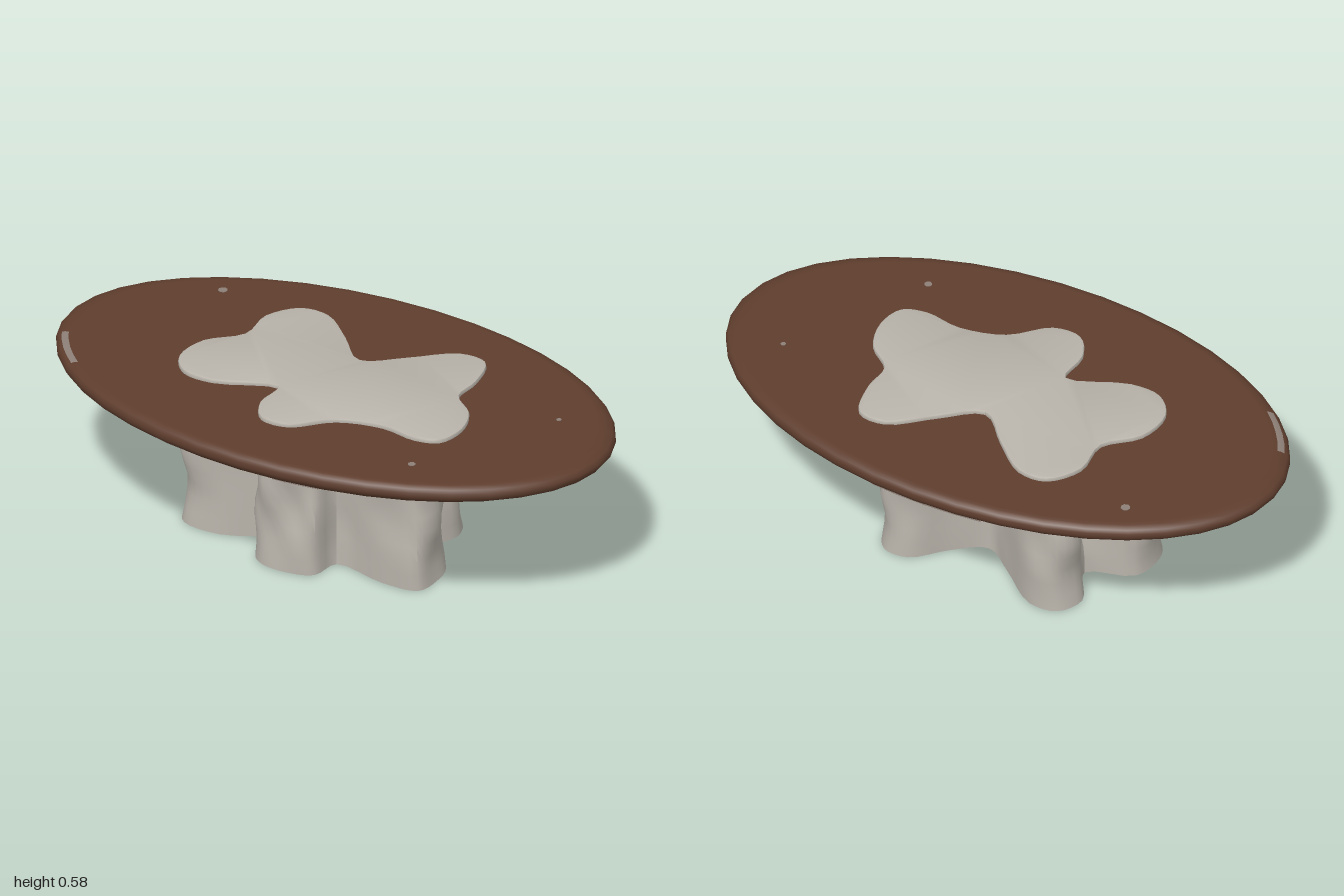
import * as THREE from 'three';
import { toCreasedNormals } from 'three/addons/utils/BufferGeometryUtils.js';

const wood = new THREE.MeshStandardMaterial({ color: 0x5e3d2d });
wood.name = 'brown wood';
const stone = new THREE.MeshStandardMaterial({ color: 0xb8b3aa });
stone.name = 'pale grey stone';
const chip = new THREE.MeshStandardMaterial({ color: 0x8c7f77, side: THREE.DoubleSide });
chip.name = 'worn grey';

// Five-lobed outlines as [x, z]
const inlayOutline = [
  [0, -0.145], [0.12, -0.24], [0.25, -0.355], [0.35, -0.35], [0.395, -0.22], [0.4, -0.11],
  [0.49, -0.03], [0.53, 0.08], [0.51, 0.18], [0.43, 0.21], [0.3, 0.195], [0.15, 0.24],
  [0.04, 0.35], [-0.06, 0.355], [-0.12, 0.27], [-0.13, 0.145], [-0.33, 0.225], [-0.44, 0.22],
  [-0.51, 0.14], [-0.5, 0.01], [-0.41, -0.1], [-0.42, -0.24], [-0.35, -0.345], [-0.25, -0.35],
  [-0.12, -0.25],
];
const baseOutline = [
  [0, -0.12], [0.1, -0.19], [0.2, -0.295], [0.29, -0.295], [0.34, -0.2], [0.3, -0.07],
  [0.42, 0], [0.445, 0.1], [0.43, 0.185], [0.3, 0.2], [0.11, 0.17],
  [0.09, 0.27], [0.03, 0.3], [-0.09, 0.3], [-0.15, 0.25], [-0.15, 0.13], [-0.32, 0.2],
  [-0.46, 0.19], [-0.5, 0.12], [-0.48, 0], [-0.33, -0.07], [-0.4, -0.2], [-0.36, -0.29],
  [-0.26, -0.3], [-0.11, -0.19],
];

// Smooth closed outline raised from y to y + height
function slab(outline, y, height, steps, bevel = 0) {
  const curve = new THREE.CatmullRomCurve3(
    outline.map(([x, z]) => new THREE.Vector3(x, -z, 0)), true, 'centripetal');
  const shape = new THREE.Shape(curve.getPoints(100).slice(0, -1).map(p => new THREE.Vector2(p.x, p.y)));
  const g = new THREE.ExtrudeGeometry(shape, {
    depth: height - bevel, steps, bevelEnabled: bevel > 0,
    bevelThickness: bevel, bevelSize: bevel, bevelOffset: -bevel, bevelSegments: 2,
  });
  return g.rotateX(-Math.PI / 2).translate(0, y, 0);
}

// Lathe around y, stretched into an oval
function oval(profile, segments, start = 0, length = Math.PI * 2) {
  const points = profile.map(([r, y]) => new THREE.Vector2(r, y));
  return new THREE.LatheGeometry(points, segments, start, length).scale(1, 1, 0.6);
}

// Irregular hewn walls: the lobes swell and sway a little with height
function hew(g) {
  const p = g.attributes.position;
  for (let i = 0; i < p.count; i++) {
    const x = p.getX(i), y = p.getY(i), z = p.getZ(i);
    const a = Math.atan2(z, x), fade = Math.sin(Math.PI * Math.min(1, y / 0.5));
    const s = 1 - fade * (0.035 + 0.035 * Math.sin(a * 7 + y * 15) + 0.015 * Math.sin(a * 13 - y * 24));
    p.setXYZ(i, x * s, y, z * s);
  }
  return g;
}

export function createModel() {
  const group = new THREE.Group();
  const add = (name, geometry, material) => {
    const mesh = new THREE.Mesh(geometry, material);
    mesh.name = name;
    group.add(mesh);
  };

  // Pedestal
  add('base', toCreasedNormals(hew(slab(baseOutline, 0, 0.51, 10)), 0.7), stone);

  // Oval top with a rounded rim
  const rim = [
    [0, 0.498], [0.94, 0.498], [0.965, 0.5], [0.99, 0.512], [1, 0.525],
    [1, 0.54], [0.99, 0.552], [0.965, 0.561], [0.94, 0.562], [0, 0.562],
  ];
  add('tabletop', oval(rim, 40), wood);

  // Raised inlay
  add('inlay', toCreasedNormals(slab(inlayOutline, 0.556, 0.02, 1, 0.006), 0.6), stone);

  // Worn patches on the rim: start and end angle in degrees, then profile
  const upper = [[0.955, 0.5635], [0.968, 0.5625], [0.98, 0.558]];
  const lower = [[0.98, 0.503], [0.968, 0.4985], [0.945, 0.4965]];
  for (const [from, to, profile] of [[288, 306, upper], [170, 194, lower], [7, 17, lower]]) {
    const d = Math.PI / 180;
    add('rimWear', oval(profile, 4, from * d, (to - from) * d), chip);
  }

  // Small specks on the top
  for (const [x, z, r] of [[-0.64, -0.33, 0.016], [0.51, 0.35, 0.013], [0.75, -0.16, 0.009]]) {
    add('speck', new THREE.CylinderGeometry(r, r, 0.003, 8).translate(x, 0.5625, z), chip);
  }
  return group;
}
